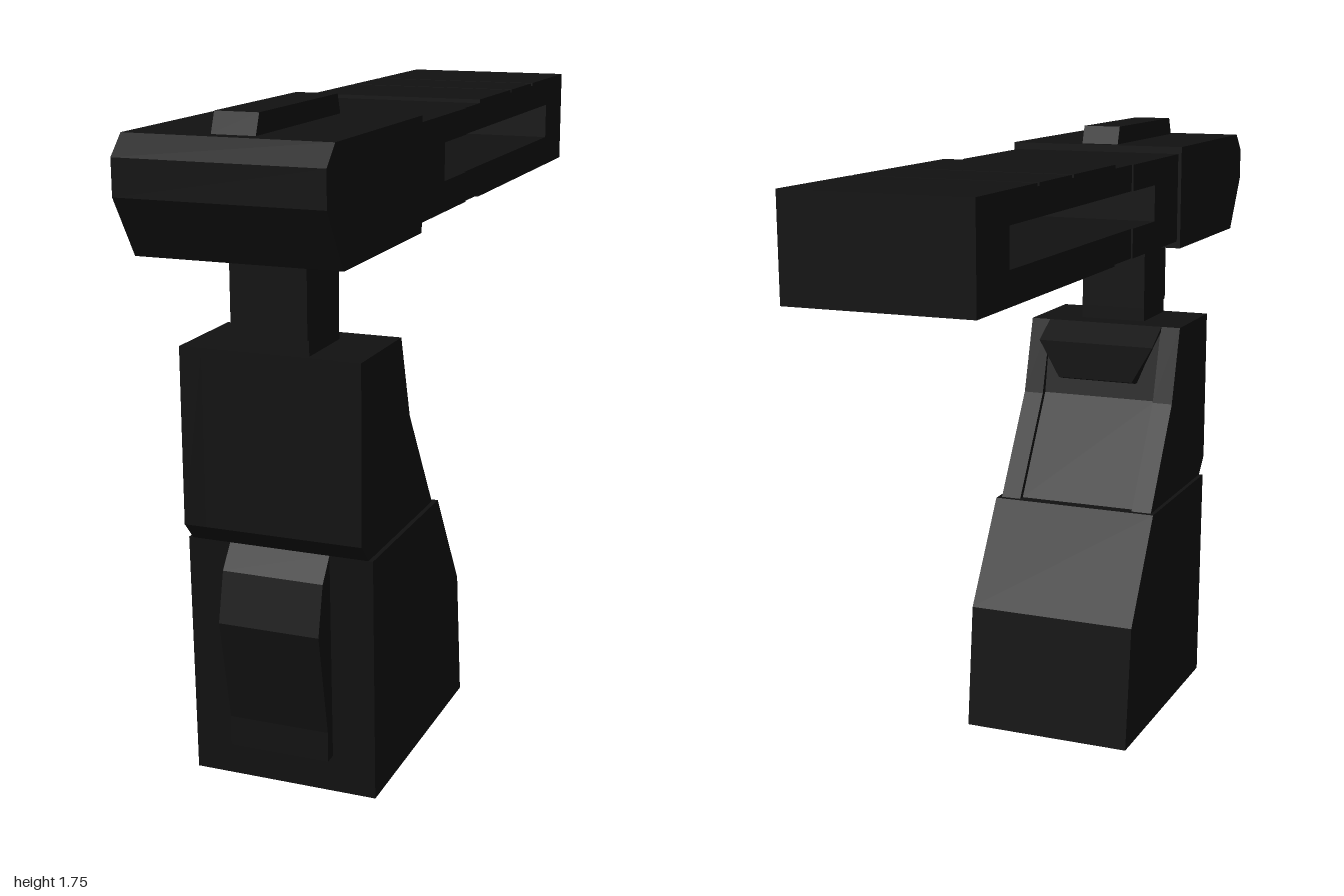
import * as THREE from 'three';

const dark = new THREE.MeshStandardMaterial({ color: 0x111111 });

// Extrude a side profile of [z, y] points across x, centred on x = cx.
function slab(name, points, width, cx = 0) {
  const shape = new THREE.Shape(points.map(([z, y]) => new THREE.Vector2(z, y)));
  const geo = new THREE.ExtrudeGeometry(shape, { depth: width, bevelEnabled: false });
  geo.translate(0, 0, -width / 2);
  geo.rotateY(-Math.PI / 2);
  geo.translate(cx, 0, 0);
  const mesh = new THREE.Mesh(geo, dark);
  mesh.name = name;
  return mesh;
}

function box(name, w, y0, y1, z0, z1) {
  const mesh = new THREE.Mesh(new THREE.BoxGeometry(w, y1 - y0, z1 - z0), dark);
  mesh.position.set(0, (y0 + y1) / 2, (z0 + z1) / 2);
  mesh.name = name;
  return mesh;
}

export function createModel() {
  const model = new THREE.Group();
  model.name = 'model';

  // Heavy foot with a sloping back
  model.add(slab('base', [[0.685, 0], [0.7, 0.65], [0.21, 0.65], [0.03, 0.36], [-0.01, 0]], 0.5));

  // Bulging panel on the front of the foot
  model.add(slab('frontPanel', [
    [0.68, 0.1], [0.72, 0.1], [0.72, 0.18], [0.775, 0.46], [0.745, 0.59], [0.7, 0.65], [0.68, 0.65],
  ], 0.27));

  // Upper body: two side cheeks around a core with a recessed back slope
  const cheek = [[0.7, 0.65], [0.745, 0.7], [0.745, 1.16], [0.47, 1.16], [0.405, 0.94], [0.225, 0.65]];
  const core = [[0.7, 0.65], [0.745, 0.7], [0.745, 1.16], [0.47, 1.16], [0.425, 0.94], [0.245, 0.65]];
  for (const side of [-1, 1]) model.add(slab('bodyCheek', cheek, 0.06, side * 0.208));
  model.add(slab('bodyCore', core, 0.356));

  // Catch at the top of the back, narrowing downward
  const catchMesh = slab('backCatch', [[0.5, 1.16], [0.47, 1.16], [0.385, 1.11], [0.385, 1], [0.42, 0.99], [0.5, 0.99]], 0.36);
  const pos = catchMesh.geometry.attributes.position;
  for (let i = 0; i < pos.count; i++) if (pos.getY(i) < 1.05) pos.setX(i, pos.getX(i) * 0.65);
  catchMesh.geometry.computeVertexNormals();
  model.add(catchMesh);

  // Neck with a slimmer collar
  model.add(box('neckCollar', 0.2, 1.15, 1.2, 0.54, 0.73));
  model.add(box('neck', 0.2, 1.2, 1.42, 0.54, 0.74));

  // Head block with a chamfered nose, and the ridge on top
  model.add(slab('head', [
    [0.95, 1.7], [0.385, 1.7], [0.385, 1.41], [0.905, 1.41], [1, 1.56], [1, 1.65],
  ], 0.52));
  model.add(slab('topRidge', [[0.91, 1.69], [0.91, 1.7], [0.89, 1.75], [0.43, 1.75], [0.41, 1.69]], 0.11));

  // Long arm in two sections, sharing a slot cut right through
  model.add(slab('armFront', [
    [0.385, 1.43], [0.385, 1.68], [0, 1.68], [0, 1.61], [0.18, 1.61], [0.18, 1.51], [0, 1.51], [0, 1.43],
  ], 0.5));
  const rear = [[0, 1.43], [-0.13, 1.43], [-0.13, 1.425], [-1, 1.425], [-1, 1.69]];
  for (const z of [-0.65, -0.43]) { // grooves across the top
    rear.push([z - 0.006, 1.69], [z - 0.006, 1.682], [z + 0.006, 1.682], [z + 0.006, 1.69]);
  }
  rear.push([-0.13, 1.69], [-0.13, 1.68], [0, 1.68], [0, 1.61], [-0.82, 1.61], [-0.82, 1.51], [0, 1.51]);
  model.add(slab('armRear', rear, 0.49));

  return model;
}
